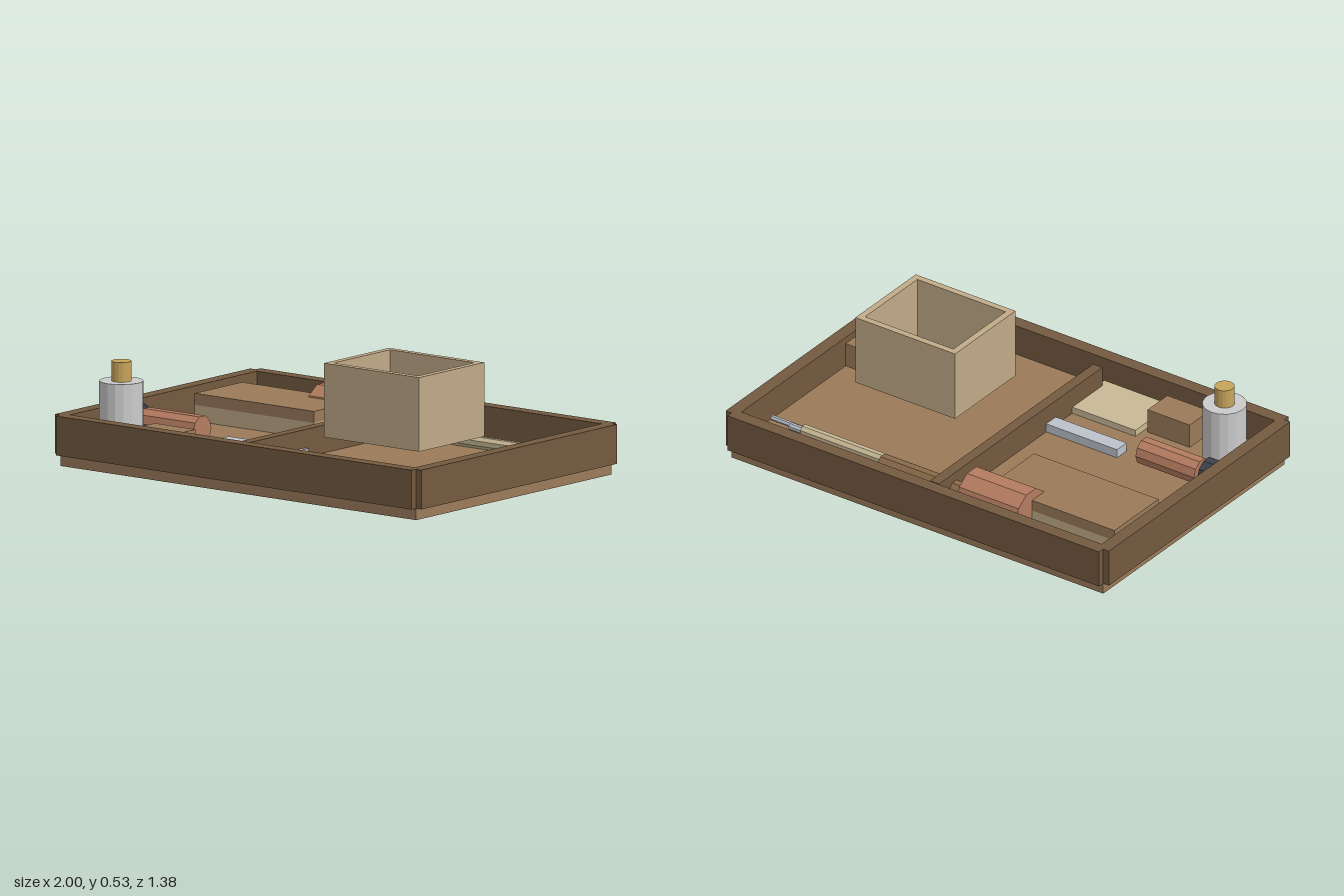
import * as THREE from 'three';

const mat = (color) => new THREE.MeshStandardMaterial({ color, flatShading: true });
const M = {
  frame: mat(0x745a40), floor: mat(0x9b7b5a), tan: mat(0xc1ab88), paper: mat(0xc9ba96),
  copper: mat(0xb57c60), steel: mat(0xbcc2cb), tin: mat(0xd2d2ce), brass: mat(0xc8a45c),
  dark: mat(0x3c4148), wood: mat(0x8a6a4a),
};

export function createModel() {
  const root = new THREE.Group();

  // Box given by its extents on each axis
  const box = (name, m, x0, x1, y0, y1, z0, z1, parent = root) => {
    const mesh = new THREE.Mesh(new THREE.BoxGeometry(x1 - x0, y1 - y0, z1 - z0), m);
    mesh.position.set((x0 + x1) / 2, (y0 + y1) / 2, (z0 + z1) / 2);
    mesh.name = name;
    parent.add(mesh);
  };

  // Cylinder lying along x, with a flat facet on top
  const rod = (name, m, x0, x1, y, z, r, sides) => {
    const g = new THREE.CylinderGeometry(r, r, x1 - x0, sides);
    g.rotateY(Math.PI / 2 + Math.PI / sides);
    g.rotateZ(Math.PI / 2);
    const mesh = new THREE.Mesh(g, m);
    mesh.position.set((x0 + x1) / 2, y, z);
    mesh.name = name;
    root.add(mesh);
  };

  // Upright cylinder
  const post = (name, m, x, z, y0, y1, r, parent) => {
    const mesh = new THREE.Mesh(new THREE.CylinderGeometry(r, r, y1 - y0, 16), m);
    mesh.position.set(x, (y0 + y1) / 2, z);
    mesh.name = name;
    parent.add(mesh);
  };

  const F = 0.08; // floor height

  // Tray: base, four rims with notched corners, divider
  box('trayBase', M.floor, -0.97, 0.97, 0, F, -0.66, 0.66);
  for (const s of [-1, 1]) {
    const z = s * 0.66, x = s * 0.97;
    box(s > 0 ? 'frontWall' : 'backWall', M.frame, -0.97, 0.97, 0.05, 0.22, z - 0.03, z + 0.03);
    box(s > 0 ? 'leftWall' : 'rightWall', M.frame, x - 0.03, x + 0.03, 0.05, 0.22, -0.66, 0.66);
  }
  box('divider', M.frame, -0.07, -0.022, F, 0.2, -0.6, 0.59);

  // Open box, raised above the floor
  const open = new THREE.Group();
  open.name = 'openBox';
  root.add(open);
  box('boxBottom', M.tan, 0.18, 0.7, 0.21, 0.24, -0.135, 0.305, open);
  for (const x of [0.18, 0.67]) box('boxSide', M.tan, x, x + 0.03, 0.24, 0.53, -0.135, 0.305, open);
  for (const z of [-0.135, 0.275]) box('boxEnd', M.tan, 0.21, 0.67, 0.24, 0.53, z, z + 0.03, open);

  // Bottle with a brass stopper
  const bottle = new THREE.Group();
  bottle.name = 'bottle';
  root.add(bottle);
  post('bottleBody', M.tin, -0.815, 0.44, F, 0.355, 0.095, bottle);
  post('bottleStopper', M.brass, -0.815, 0.44, 0.355, 0.44, 0.043, bottle);

  // Covered stack, wooden blocks, paper pad
  box('stackPages', M.tan, -0.9, -0.25, F, 0.15, -0.48, -0.16);
  box('stackCover', M.floor, -0.9, -0.25, 0.15, 0.2, -0.48, -0.16);
  box('smallBlock', M.floor, -0.64, -0.42, F, 0.19, 0.43, 0.575);
  box('wallBlock', M.floor, 0.86, 0.96, F, 0.19, 0.13, 0.39);
  box('paperPad', M.paper, -0.4, -0.05, F, 0.11, 0.37, 0.63);

  // Flat metal bars
  box('metalBar', M.steel, -0.44, -0.005, F, 0.12, 0.18, 0.25);
  box('metalBar', M.steel, 0.43, 0.86, F, 0.12, 0.23, 0.29);

  // Copper rolls and dark end disc
  rod('largeRoll', M.copper, -0.47, -0.16, 0.14, -0.488, 0.112, 10);
  rod('smallRoll', M.copper, -0.86, -0.555, 0.14, 0.215, 0.061, 10);
  rod('endDisc', M.dark, -0.93, -0.88, 0.145, 0.217, 0.068, 10);

  // Wooden handle, slim brush and metal needles
  rod('woodenHandle', M.wood, -0.13, 0.305, 0.12, -0.488, 0.042, 8);
  rod('brushHandle', M.paper, 0.02, 0.75, 0.105, -0.442, 0.027, 8);
  rod('brushFerrule', M.steel, 0.75, 0.815, 0.105, -0.446, 0.017, 8);
  for (const [x, z] of [[0.725, -0.595], [0.625, -0.555], [0.79, -0.512], [0.745, -0.435]]) {
    rod('needle', M.steel, x, x + 0.175, 0.105, z, 0.012, 6);
  }
  return root;
}
